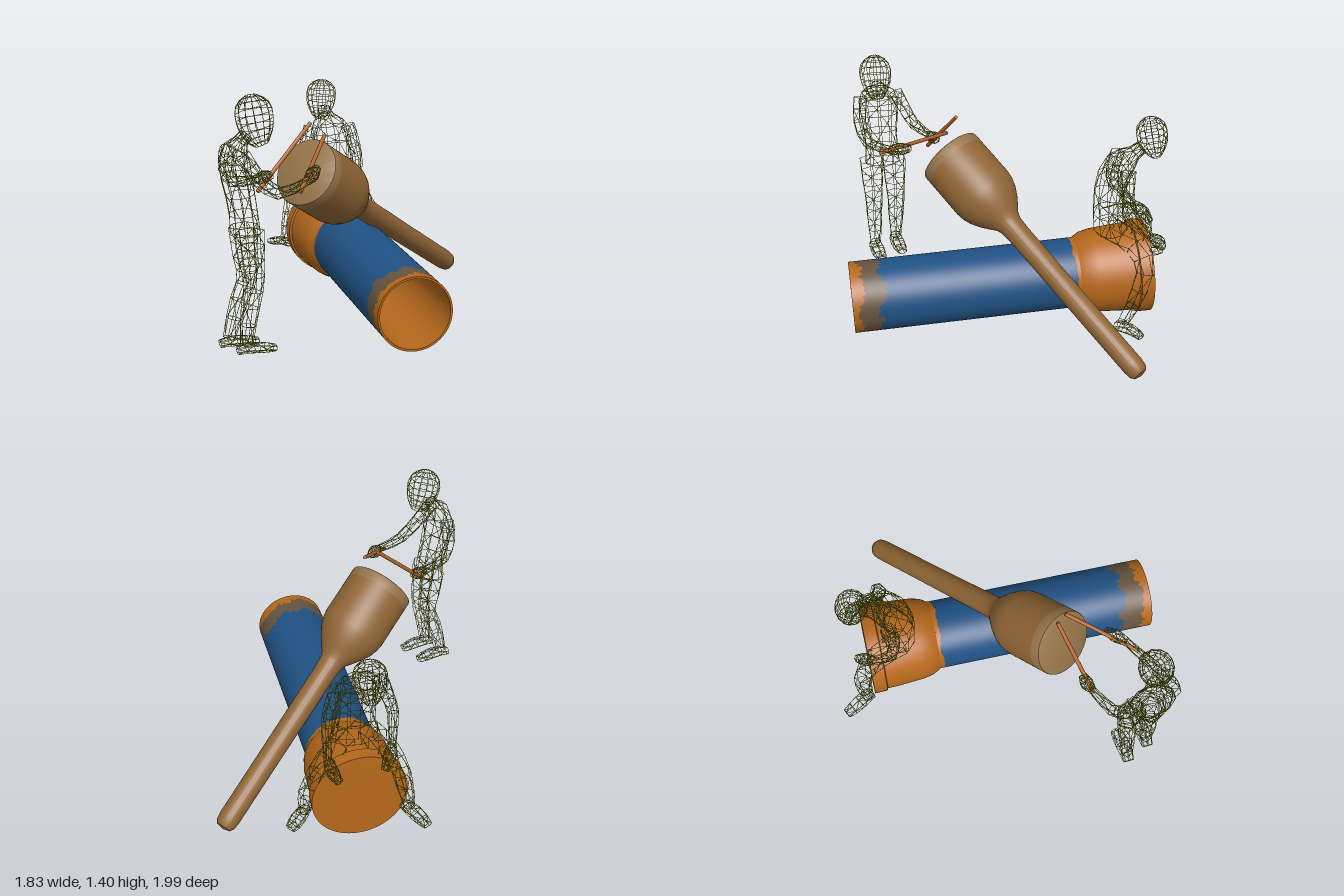
import * as THREE from 'three';
import { mergeGeometries, toCreasedNormals } from 'three/addons/utils/BufferGeometryUtils.js';
import { ParametricGeometry } from 'three/addons/geometries/ParametricGeometry.js';

const UP = new THREE.Vector3(0, 1, 0);
const V = (p) => new THREE.Vector3(p[0], p[1], p[2]);

function material(name, color) {
  const m = new THREE.MeshStandardMaterial({ color });
  m.name = name;
  return m;
}

function add(parent, name, geometry, mat) {
  const mesh = new THREE.Mesh(geometry, mat);
  mesh.name = name;
  parent.add(mesh);
}

// Group whose local +y runs from one point to another
function axisGroup(name, from, to) {
  const g = new THREE.Group();
  g.name = name;
  g.position.copy(V(from));
  g.quaternion.setFromUnitVectors(UP, V(to).sub(V(from)).normalize());
  return g;
}

function lathe(points) {
  const g = new THREE.LatheGeometry(points.map((p) => new THREE.Vector2(p[0], p[1])), 64);
  return toCreasedNormals(g, 0.6);
}

// Cylinder band whose two edges follow functions of the angle (u in 0..1)
function band(radius, start, end) {
  return new ParametricGeometry((u, v, target) => {
    const a = u * Math.PI * 2;
    target.set(Math.cos(a) * radius, THREE.MathUtils.lerp(start(u), end(u), v), -Math.sin(a) * radius);
  }, 144, 3);
}

// Repeating uneven paint edge
function ragged(base, amount, seed) {
  let s = seed;
  const steps = Array.from({ length: 72 }, () => (s = (s * 16807) % 2147483647) / 2147483647 - 0.5);
  return (u) => {
    const w = Math.sin(u * Math.PI * 6 + seed) * 0.5 + Math.sin(u * Math.PI * 14) * 0.3;
    return base + amount * (w + steps[Math.floor(u * 72 + 1e-6) % 72]);
  };
}

// Thin wire between two points
function strut(a, b) {
  const d = b.clone().sub(a);
  const g = new THREE.CylinderGeometry(0.0019, 0.0019, d.length(), 3, 1, true);
  g.applyQuaternion(new THREE.Quaternion().setFromUnitVectors(UP, d.normalize()));
  return g.translate((a.x + b.x) / 2, (a.y + b.y) / 2, (a.z + b.z) / 2);
}

// Wire cage around a path of [x, y, z, depth radius, width radius];
// side is the direction of the width
function cage(path, sides, rings, side, diagonals = true) {
  const curve = new THREE.CatmullRomCurve3(path.map(V));
  const loops = [];
  for (let i = 0; i < rings; i++) {
    const t = i / (rings - 1);
    const f = t * (path.length - 1);
    const k = Math.min(Math.floor(f), path.length - 2);
    const rd = THREE.MathUtils.lerp(path[k][3], path[k + 1][3], f - k);
    const rw = THREE.MathUtils.lerp(path[k][4], path[k + 1][4], f - k);
    const p = curve.getPoint(t);
    const tangent = curve.getTangent(t);
    const depth = V(side).cross(tangent).normalize();
    const width = tangent.cross(depth).normalize();
    loops.push(Array.from({ length: sides }, (_, j) => {
      const a = (j / sides) * Math.PI * 2;
      return p.clone().addScaledVector(depth, Math.cos(a) * rd).addScaledVector(width, Math.sin(a) * rw);
    }));
  }
  const parts = [];
  loops.forEach((loop, i) => loop.forEach((p, j) => {
    const n = (j + 1) % sides;
    parts.push(strut(p, loop[n]));
    if (i === rings - 1) return;
    parts.push(strut(p, loops[i + 1][j]));
    if (diagonals && (i + j) % 2) parts.push(strut(p, loops[i + 1][n]));
  }));
  return mergeGeometries(parts);
}

// Gives each path point a round radius, flattened in depth if wanted
const taper = (points, radii, flat = 1) => points.map((p, i) => [...p, radii[i] * flat, radii[i]]);

function figure(name, mat, side, handSide, pose) {
  const g = new THREE.Group();
  g.name = name;
  add(g, 'torso', cage(pose.torso, 10, 8, side), mat);
  add(g, 'head', cage(pose.head, 14, 9, side, false), mat);
  pose.arms.forEach((a) => {
    add(g, 'arm', cage(taper(a.slice(0, 4), [0.045, 0.04, 0.033, 0.022]), 6, 7, side), mat);
    add(g, 'hand', cage(taper(a.slice(3), [0.025, 0.04, 0.022]), 8, 6, handSide), mat);
  });
  pose.legs.forEach((l) => add(g, 'leg', cage(taper(l, [0.078, 0.07, 0.055, 0.05, 0.034]), 6, 8, side), mat));
  pose.feet.forEach((f) => add(g, 'foot', cage(taper(f, [0.033, 0.045, 0.045, 0.03], 0.6), 7, 5, side), mat));
  return g;
}

export function createModel() {
  const orange = material('orange wood', 0xb5681c);
  const blue = material('blue paint', 0x205284);
  const faded = material('worn paint', 0x665440);
  const brown = material('brown wood', 0x8f6535);
  const tan = material('drum skin', 0x94734a);
  const stickMat = material('stick wood', 0xb5662a);
  const wire = material('olive wire', 0x8a9414);

  const model = new THREE.Group();
  model.name = 'drummers';

  // Long lying drum, open at the front
  const drum = axisGroup('longDrum', [0.06, 0.24, 0.987], [0.14, 0.294, -0.77]);
  const rimEdge = ragged(0.055, 0.03, 11);
  const wornEdge = ragged(0.175, 0.04, 29);
  const bellEdge = ragged(1.312, 0.01, 53);
  add(drum, 'frontBand', band(0.209, () => 0, rimEdge), orange);
  add(drum, 'wornBand', band(0.209, rimEdge, wornEdge), faded);
  add(drum, 'paintedTube', band(0.209, wornEdge, bellEdge), blue);
  add(drum, 'bellEdge', band(0.209, bellEdge, () => 1.335), orange);
  add(drum, 'bell', lathe([[0.209, 1.335], [0.236, 1.38], [0.25, 1.44], [0.262, 1.6], [0.264, 1.675],
    [0.277, 1.68], [0.279, 1.757], [0, 1.759]]), orange);
  add(drum, 'hollow', lathe([[0, 1.7], [0.197, 1.7], [0.197, 0], [0.209, 0]]), orange);
  model.add(drum);

  // Goblet drum with a long handle, skin end up
  const goblet = axisGroup('gobletDrum', [-0.34, 0.903, 0.32], [0.86, 0.065, -0.52]);
  add(goblet, 'skin', lathe([[0, 0], [0.185, 0], [0.193, 0.004], [0.196, 0.012], [0.196, 0.065]]), tan);
  add(goblet, 'gobletBody', lathe([[0.196, 0.065], [0.196, 0.31], [0.19, 0.355], [0.175, 0.4], [0.145, 0.455],
    [0.11, 0.505], [0.083, 0.54], [0.071, 0.575], [0.067, 0.64], [0.064, 1.2], [0.063, 1.66], [0.058, 1.7],
    [0.043, 1.722], [0, 1.733]]), brown);
  model.add(goblet);

  // Drum sticks
  [[[-0.64, 0.83, 0.41], [-0.3, 1.17, 0.285]], [[-0.49, 0.885, 0.72], [-0.24, 1.105, 0.35]]].forEach(([a, b]) => {
    const stick = axisGroup('drumStick', a, b);
    const length = V(a).distanceTo(V(b));
    add(stick, 'stick', new THREE.CylinderGeometry(0.011, 0.012, length, 10).translate(0, length / 2, 0), stickMat);
    model.add(stick);
  });

  // Standing player facing the goblet drum
  const stance = [[-0.04, 0.61], [0.02, 0.75]];
  model.add(figure('standingPlayer', wire, [0, 0, 1], [0, 1, 0], {
    torso: [[-0.78, 0.68, 0.68, 0.08, 0.11], [-0.79, 0.8, 0.68, 0.075, 0.1], [-0.81, 0.92, 0.68, 0.078, 0.105],
      [-0.83, 1.03, 0.68, 0.085, 0.125], [-0.83, 1.11, 0.68, 0.072, 0.125], [-0.8, 1.16, 0.68, 0.04, 0.05],
      [-0.77, 1.2, 0.69, 0.035, 0.04]],
    head: [[-0.69, 1.15, 0.7, 0.04, 0.035], [-0.705, 1.19, 0.7, 0.075, 0.065], [-0.72, 1.25, 0.7, 0.096, 0.088],
      [-0.73, 1.31, 0.7, 0.102, 0.098], [-0.74, 1.37, 0.7, 0.085, 0.08], [-0.745, 1.405, 0.7, 0.03, 0.03]],
    arms: [
      [[-0.84, 1.11, 0.57], [-0.84, 1, 0.52], [-0.79, 0.91, 0.47], [-0.64, 0.9, 0.395], [-0.6, 0.9, 0.38], [-0.55, 0.91, 0.37]],
      [[-0.82, 1.11, 0.79], [-0.74, 0.99, 0.81], [-0.62, 0.9, 0.78], [-0.43, 0.93, 0.66], [-0.39, 0.95, 0.61], [-0.35, 0.97, 0.56]],
    ],
    legs: stance.map(([dx, z]) => [[-0.775, 0.7, z], [-0.765, 0.56, z], [-0.755, 0.42, z],
      [-0.79 + dx / 2, 0.27, z], [-0.82 + dx, 0.09, z]]),
    feet: stance.map(([dx, z]) => [[-0.87 + dx, 0.06, z], [-0.8 + dx, 0.07, z],
      [-0.72 + dx, 0.06, z - 0.01], [-0.66 + dx, 0.05, z - 0.02]]),
  }));

  // Seated player astride the long drum, facing back
  model.add(figure('seatedPlayer', wire, [1, 0, 0], [1, 0, 0], {
    torso: [[0.1, 0.56, -0.56, 0.1, 0.14], [0.1, 0.68, -0.54, 0.085, 0.11], [0.1, 0.82, -0.55, 0.09, 0.115],
      [0.1, 0.93, -0.58, 0.085, 0.13], [0.1, 0.99, -0.63, 0.065, 0.12], [0.1, 1.03, -0.68, 0.042, 0.05],
      [0.1, 1.07, -0.73, 0.038, 0.04]],
    head: [[0.1, 1.005, -0.82, 0.03, 0.035], [0.1, 1.04, -0.81, 0.06, 0.065], [0.1, 1.1, -0.795, 0.087, 0.088],
      [0.1, 1.16, -0.785, 0.092, 0.095], [0.1, 1.215, -0.775, 0.075, 0.08], [0.1, 1.245, -0.77, 0.03, 0.03]],
    arms: [
      [[0.22, 0.98, -0.62], [0.26, 0.85, -0.61], [0.29, 0.73, -0.63], [0.32, 0.59, -0.74], [0.31, 0.55, -0.79], [0.28, 0.49, -0.83]],
      [[-0.02, 0.98, -0.62], [-0.06, 0.86, -0.61], [-0.09, 0.74, -0.63], [-0.05, 0.61, -0.74], [-0.02, 0.57, -0.79], [0.02, 0.51, -0.83]],
    ],
    legs: [
      [[0.17, 0.57, -0.56], [0.28, 0.54, -0.65], [0.38, 0.44, -0.7], [0.42, 0.27, -0.65], [0.41, 0.08, -0.57]],
      [[0.03, 0.57, -0.56], [-0.02, 0.57, -0.7], [-0.07, 0.5, -0.81], [-0.1, 0.36, -0.835], [-0.13, 0.21, -0.83]],
    ],
    feet: [
      [[0.39, 0.05, -0.53], [0.43, 0.06, -0.57], [0.48, 0.05, -0.62], [0.52, 0.035, -0.65]],
      [[-0.11, 0.19, -0.8], [-0.13, 0.2, -0.85], [-0.165, 0.185, -0.92], [-0.19, 0.17, -0.98]],
    ],
  }));

  return model;
}
